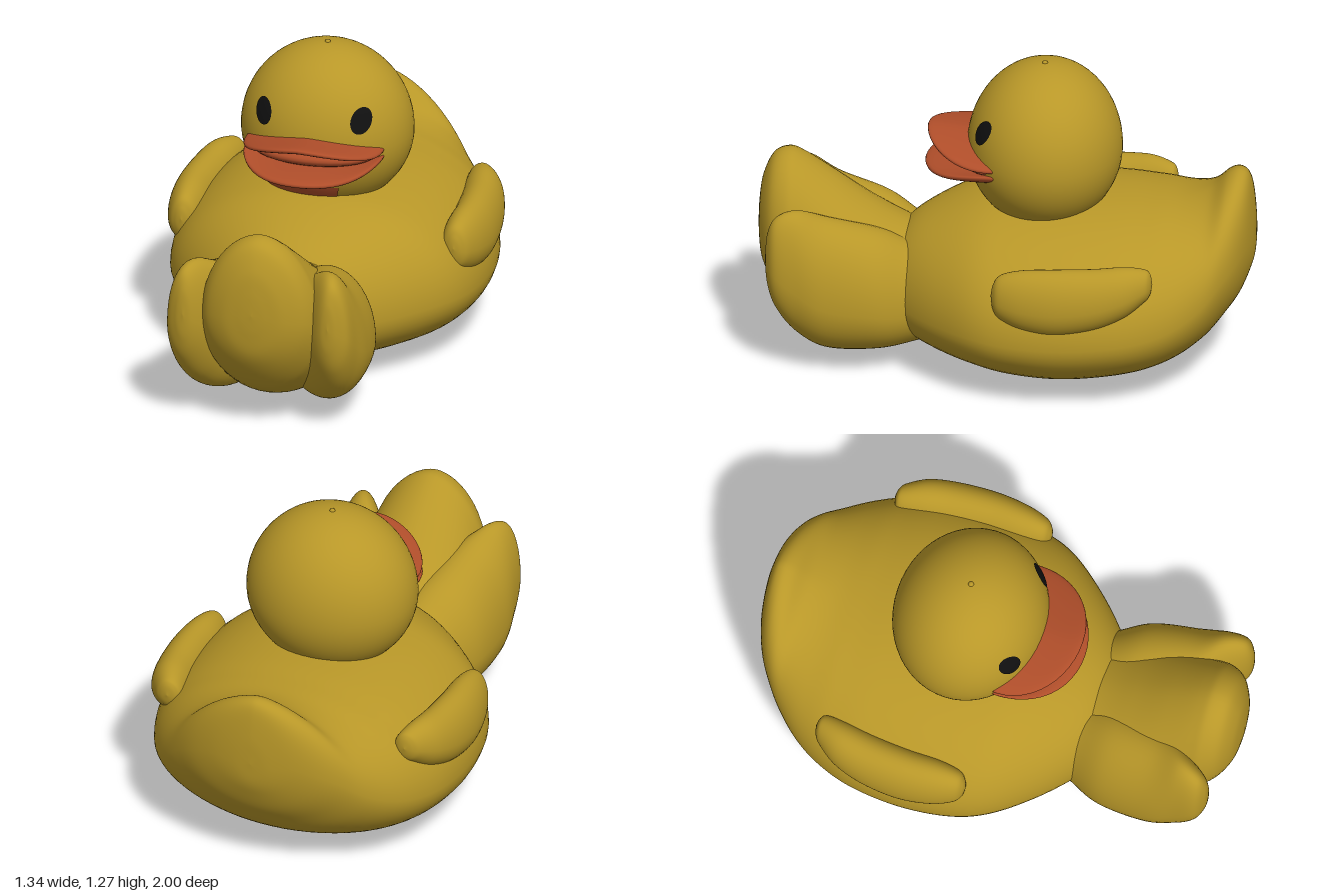
import * as THREE from 'three';
import { mergeVertices } from 'three/addons/utils/BufferGeometryUtils.js';

const material = (name, color) => Object.assign(new THREE.MeshStandardMaterial({ color }), { name });
const yellow = material('yellow', 0xb89728);
const orange = material('orange', 0xb04e2a);
const black = material('black', 0x101010);

// Smooth skin over sections [z, centreX, halfWidth, bottom, top], listed from front to back.
// mid: relative height of the widest line; peak(z): above 1 makes the upper half more pointed.
function loft(sections, mid, peak = () => 1, rings = 64, sides = 48) {
  const a = new THREE.CatmullRomCurve3(sections.map(s => new THREE.Vector3(s[0], s[1], s[2])), false, 'catmullrom');
  const b = new THREE.CatmullRomCurve3(sections.map(s => new THREE.Vector3(s[3], s[4], 0)), false, 'catmullrom');
  const positions = [], index = [];
  for (let i = 0; i <= rings; i++) {
    const p = a.getPoint(i / rings), q = b.getPoint(i / rings);
    const ym = q.x + (q.y - q.x) * mid;
    for (let j = 0; j < sides; j++) {
      const t = j / sides * Math.PI * 2, c = Math.cos(t), s = Math.sin(t);
      const e = s > 0 ? peak(p.x) : 1;
      positions.push(
        p.y + Math.max(p.z, 0) * Math.sign(c) * Math.abs(c) ** e,
        ym + s * (s > 0 ? q.y - ym : ym - q.x),
        p.x);
      if (i < rings) {
        const k = i * sides + j, n = i * sides + (j + 1) % sides;
        index.push(k, k + sides, n, k + sides, n + sides, n);
      }
    }
  }
  const g = new THREE.BufferGeometry();
  g.setAttribute('position', new THREE.Float32BufferAttribute(positions, 3));
  g.setIndex(index);
  g.computeVertexNormals();
  return g;
}

// Moves every vertex by a rule and rebuilds smooth normals
function reshape(geometry, rule) {
  const p = geometry.attributes.position;
  for (let i = 0; i < p.count; i++) p.setXYZ(i, ...rule(p.getX(i), p.getY(i), p.getZ(i)));
  geometry.deleteAttribute('uv');
  geometry.deleteAttribute('normal');
  const g = mergeVertices(geometry, 1e-5);
  g.computeVertexNormals();
  return g;
}

// Head surface: radius by height, slightly flattened front to back
const HEAD_Y = 0.905, HEAD_Z = -0.15, DEPTH = 0.89;
const headRadius = y => 0.35 * Math.sqrt(Math.max(0, 1 - ((y - HEAD_Y) / (y > HEAD_Y ? 0.36 : 0.32)) ** 2));
const headFront = (x, y) => HEAD_Z + DEPTH * Math.sqrt(Math.max(0, headRadius(y) ** 2 - x * x));

export function createModel() {
  const model = new THREE.Group();
  const add = (name, geometry, mat) => {
    const mesh = new THREE.Mesh(geometry, mat);
    mesh.name = name;
    model.add(mesh);
    return mesh;
  };
  const mirrored = (sections, side) => sections.map(([z, cx, ...rest]) => [z, cx * side, ...rest]);

  // Body with upturned tail
  add('body', loft([
    [0.5, 0, 0, 0.33, 0.33],
    [0.46, 0, 0.2, 0.2, 0.46],
    [0.38, 0, 0.32, 0.11, 0.56],
    [0.25, 0, 0.455, 0.065, 0.635],
    [0.1, 0, 0.57, 0.035, 0.69],
    [-0.05, 0, 0.625, 0.01, 0.71],
    [-0.25, 0, 0.645, 0, 0.72],
    [-0.45, 0, 0.63, 0.02, 0.72],
    [-0.6, 0, 0.585, 0.05, 0.715],
    [-0.72, 0, 0.52, 0.1, 0.72],
    [-0.82, 0, 0.435, 0.17, 0.755],
    [-0.89, 0, 0.355, 0.25, 0.82],
    [-0.94, 0, 0.275, 0.32, 0.835],
    [-0.975, 0, 0.18, 0.4, 0.8],
    [-0.995, 0, 0.08, 0.47, 0.68],
    [-1, 0, 0, 0.56, 0.56],
  ], 0.4, z => 0.95 + 0.3 * THREE.MathUtils.smoothstep(-z, 0.6, 0.9), 90, 64), yellow);

  // Webbed foot in front: middle toe and two side toes
  add('middleToe', loft([
    [0.2, 0, 0.25, 0.12, 0.48],
    [0.4, 0, 0.3, 0.09, 0.55],
    [0.55, 0, 0.3, 0.08, 0.635],
    [0.7, 0, 0.28, 0.09, 0.74],
    [0.82, 0, 0.255, 0.15, 0.82],
    [0.88, 0, 0.24, 0.2, 0.842],
    [0.94, 0, 0.2, 0.28, 0.815],
    [0.98, 0, 0.13, 0.36, 0.73],
    [0.995, 0, 0.06, 0.45, 0.64],
    [1, 0, 0, 0.54, 0.54],
  ].reverse(), 0.42, () => 1.1), yellow);
  const sideToe = [
    [0.945, 0.3, 0, 0.49, 0.49],
    [0.935, 0.3, 0.035, 0.38, 0.6],
    [0.9, 0.3, 0.075, 0.28, 0.67],
    [0.82, 0.275, 0.115, 0.17, 0.69],
    [0.7, 0.225, 0.175, 0.09, 0.64],
    [0.5, 0.185, 0.195, 0.08, 0.58],
    [0.35, 0.14, 0.17, 0.1, 0.5],
    [0.2, 0.1, 0.15, 0.14, 0.46],
  ];

  // Little wings resting on the sides
  const wing = [
    [0.01, 0.565, 0, 0.49, 0.49],
    [0, 0.565, 0.03, 0.43, 0.54],
    [-0.03, 0.565, 0.06, 0.39, 0.58],
    [-0.12, 0.57, 0.085, 0.35, 0.605],
    [-0.25, 0.575, 0.095, 0.335, 0.615],
    [-0.4, 0.565, 0.095, 0.36, 0.62],
    [-0.52, 0.545, 0.085, 0.41, 0.625],
    [-0.6, 0.52, 0.06, 0.47, 0.61],
    [-0.625, 0.515, 0.035, 0.5, 0.59],
    [-0.635, 0.515, 0, 0.545, 0.545],
  ];
  for (const [label, side] of [['left', 1], ['right', -1]]) {
    add(label + 'SideToe', loft(mirrored(sideToe, side), 0.4), yellow);
    add(label + 'Wing', loft(mirrored(wing, side), 0.42), yellow);

    // Eye painted on the head surface
    add(label + 'Eye', reshape(new THREE.RingGeometry(0, 1, 32, 4), (u, v) => {
      const x = side * 0.202 + u * 0.038, y = 1.035 + v * 0.051;
      return [x, y, headFront(x, y) + 0.005];
    }), black);
  }

  // Head with a tiny nub on top
  add('head', reshape(new THREE.SphereGeometry(1, 56, 40), (x, y, z) => [
    x * 0.35, HEAD_Y + y * (y > 0 ? 0.36 : 0.32), HEAD_Z + z * 0.35 * DEPTH,
  ]), yellow);
  add('headNub', new THREE.SphereGeometry(0.012, 12, 8), yellow).position.set(0, 1.262, HEAD_Z);

  // Open beak: two curved lips and the mouth between them
  const lip = (thickness, reach, centre) => reshape(new THREE.SphereGeometry(1, 48, 24), (x, y, z) => [
    x * 0.285,
    centre(x, z) + thickness * Math.sign(y) * Math.abs(y) ** 0.7,
    0.05 + z * reach,
  ]);
  add('upperBeak', lip(0.024, 0.27,
    (x, z) => 0.9 + 0.04 * (1 - Math.abs(x) ** 1.4) + 0.035 * Math.max(z, 0) ** 2), orange);
  add('lowerBeak', lip(0.026, 0.28, x => 0.873 - 0.043 * (1 - x ** 4)), orange);
  const mouth = add('mouth', new THREE.SphereGeometry(1, 32, 16), orange);
  mouth.scale.set(0.26, 0.05, 0.15);
  mouth.position.set(0, 0.885, 0.05);

  // Orange patch at the base of the neck
  add('neckPatch', reshape(new THREE.PlaneGeometry(1, 1, 24, 4), (u, v) => {
    const angle = THREE.MathUtils.degToRad(-20 + u * 84), y = 0.717 + v * 0.055;
    const r = headRadius(y) + 0.005;
    return [Math.sin(angle) * r, y, HEAD_Z + Math.cos(angle) * r * DEPTH];
  }), orange);

  return model;
}
